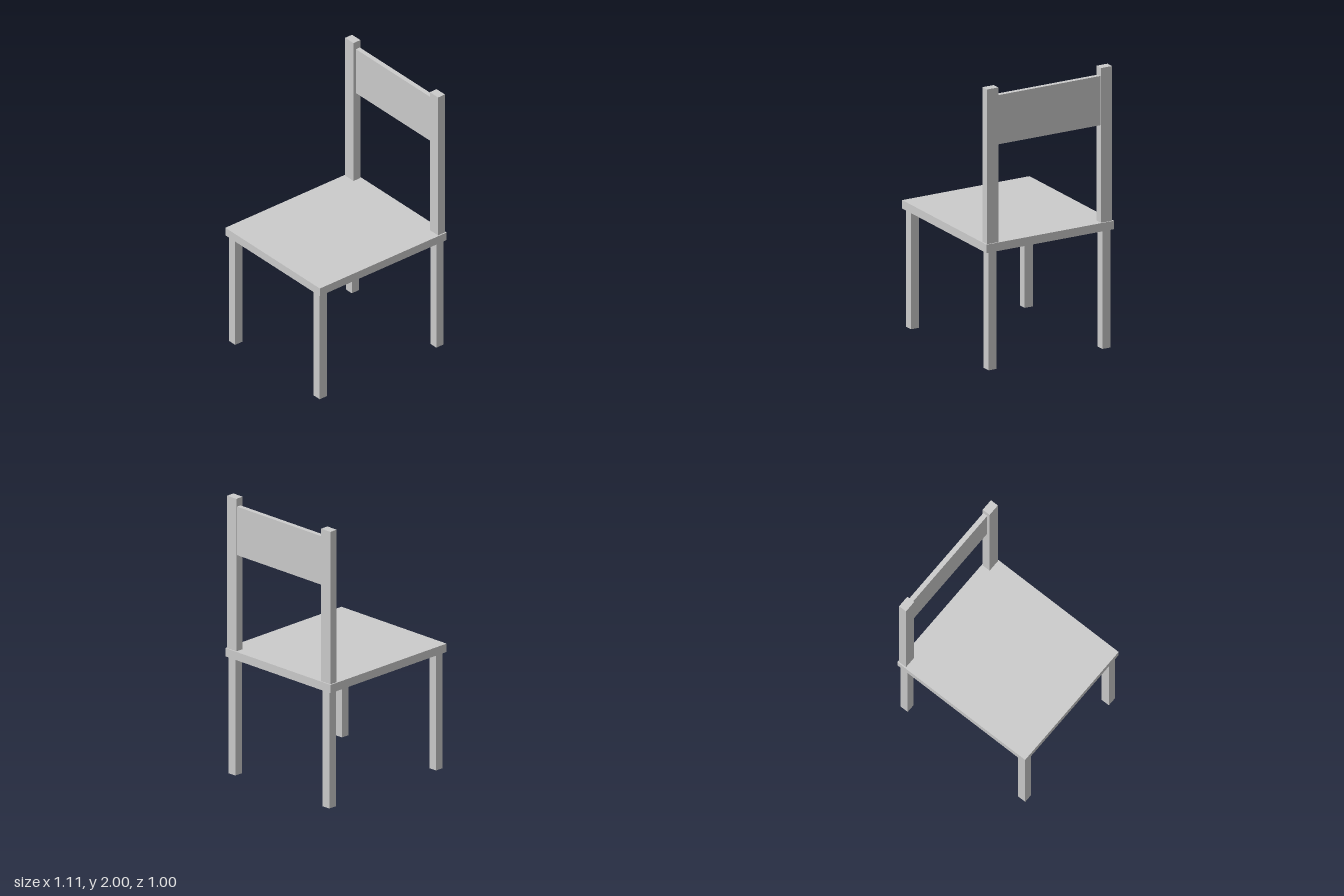
import * as THREE from 'three';

export function createModel() {
  const chair = new THREE.Group();
  chair.name = 'chair';
  const material = new THREE.MeshStandardMaterial({ color: 0xcccccc, flatShading: true });

  // Box given by its size, centre in x and z, and bottom height
  function addBox(name, [w, h, d], x, bottom, z) {
    const mesh = new THREE.Mesh(new THREE.BoxGeometry(w, h, d), material);
    mesh.name = name;
    mesh.position.set(x, bottom + h / 2, z);
    chair.add(mesh);
  }

  const seatBottom = 0.84;
  const seatTop = 0.9;

  addBox('seat', [1.112, seatTop - seatBottom, 1.0], 0, seatBottom, 0);

  // The backrest stands along the +x edge; legs and posts mirror in z
  for (const side of [1, -1]) {
    const end = side > 0 ? 'Front' : 'Back';
    addBox('openSideLeg' + end, [0.064, seatBottom, 0.064], -0.508, 0, side * 0.447);
    addBox('backrestSideLeg' + end, [0.064, seatBottom, 0.064], 0.515, 0, side * 0.447);
    addBox('backrestPost' + end, [0.06, 2 - seatTop, 0.088], 0.518, seatTop, side * 0.447);
  }

  // Wide slat between the posts
  addBox('backrestSlat', [0.034, 0.35, 0.806], 0.526, 1.593, 0);

  return chair;
}
